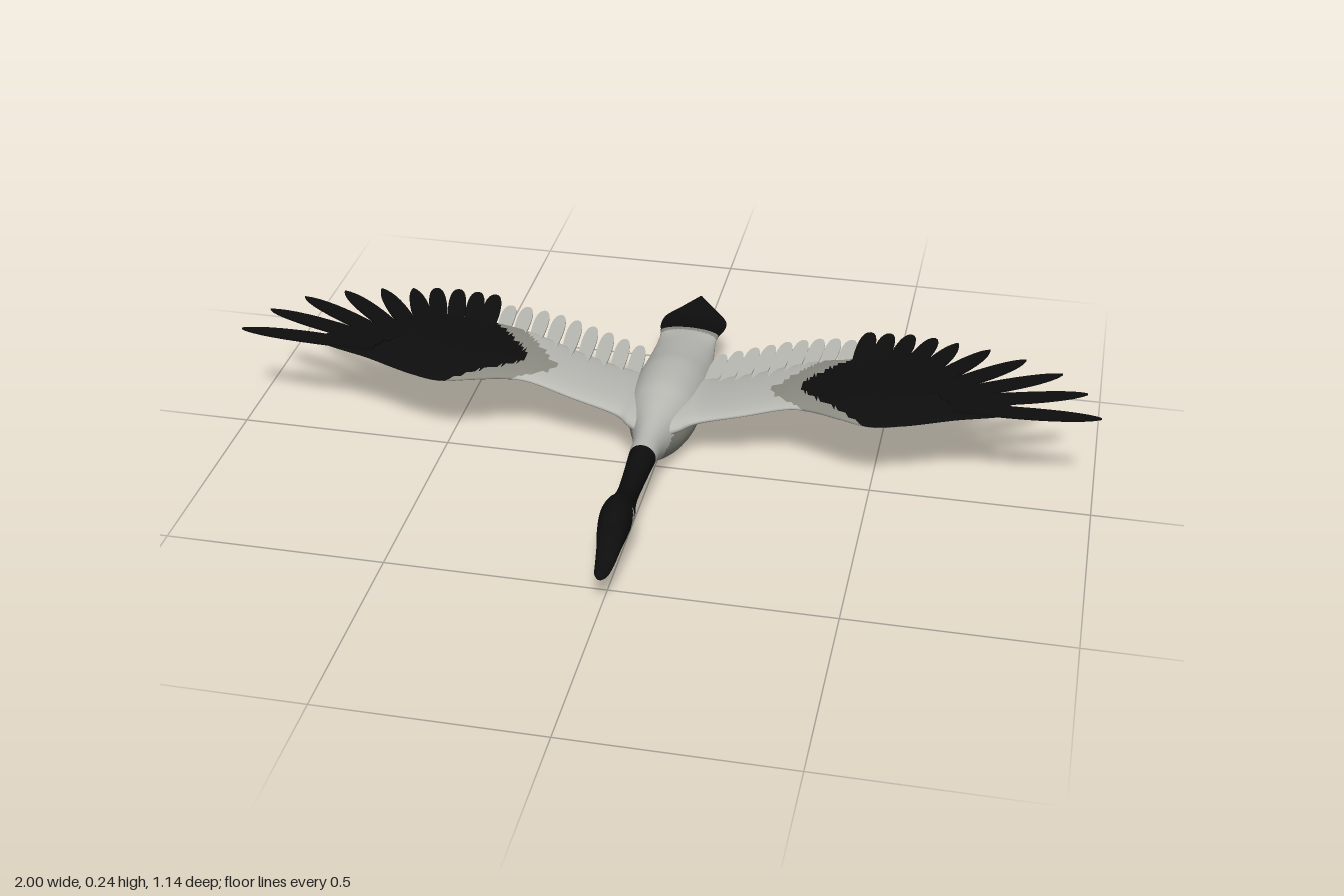
import * as THREE from 'three';

const mat = (name, color) => new THREE.MeshStandardMaterial({ name, color, side: THREE.DoubleSide });

// Catmull-Rom sampling of rows of numbers
function sampleRows(rows, steps) {
  const out = [];
  const at = (i) => rows[Math.max(0, Math.min(rows.length - 1, i))];
  for (let i = 0; i < rows.length - 1; i++) {
    for (let k = 0; k < steps; k++) {
      const t = k / steps;
      out.push(rows[i].map((b, c) => {
        const a = at(i - 1)[c], d = at(i + 1)[c], e = at(i + 2)[c];
        return b + 0.5 * t * (d - a + t * (2 * a - 5 * b + 4 * d - e + t * (3 * (b - d) + e - a)));
      }));
    }
  }
  out.push(rows[rows.length - 1]);
  return out;
}

// Skin through closed rings; pick(centre, angle) gives each quad its material index
function loft(rings, pick, flip = false) {
  const n = rings[0].length, pos = rings.flat(2), buckets = [[], [], []];
  for (let i = 0; i < rings.length - 1; i++) {
    for (let j = 0; j < n; j++) {
      const a = i * n + j, b = a + n, c = i * n + (j + 1) % n, d = c + n;
      const tris = flip ? [[a, c, b], [b, c, d]] : [[a, b, c], [b, d, c]];
      for (const t of tris) {
        const m = [0, 1, 2].map((k) => (pos[t[0] * 3 + k] + pos[t[1] * 3 + k] + pos[t[2] * 3 + k]) / 3);
        buckets[pick(m, ((j + 0.5) / n) * Math.PI * 2)].push(...t);
      }
    }
  }
  const g = new THREE.BufferGeometry();
  g.setAttribute('position', new THREE.Float32BufferAttribute(pos, 3));
  g.setIndex(buckets.flat());
  let start = 0;
  buckets.forEach((b, k) => {
    if (b.length) g.addGroup(start, b.length, k);
    start += b.length;
  });
  g.computeVertexNormals();
  return g;
}

// Thin blade with a rounded or pointed end, laid from base to tip
function featherGeometry(base, tip, width, pointed) {
  const L = base.distanceTo(tip), w = width / 2, s = new THREE.Shape();
  s.moveTo(-w * 0.6, 0);
  s.lineTo(w * 0.6, 0);
  if (pointed) {
    s.bezierCurveTo(w * 1.2, L * 0.4, w * 1.1, L * 0.85, 0, L);
    s.bezierCurveTo(-w * 0.8, L * 0.92, -w * 1.1, L * 0.5, -w * 0.6, 0);
  } else {
    s.bezierCurveTo(w, L * 0.4, w * 1.3, L, 0, L);
    s.bezierCurveTo(-w * 1.3, L, -w, L * 0.4, -w * 0.6, 0);
  }
  const g = new THREE.ExtrudeGeometry(s, { depth: 0.005, bevelEnabled: false, curveSegments: 10 });
  g.translate(0, 0, -0.0025);
  const dir = tip.clone().sub(base).normalize();
  const side = dir.clone().cross(new THREE.Vector3(0, 1, 0)).normalize();
  const up = side.clone().cross(dir);
  g.applyMatrix4(new THREE.Matrix4().makeBasis(side, dir, up).setPosition(base));
  return g;
}

// z, top y, bottom y, half width, from bill to tail
const BODY = [
  [0.57, 0.083, 0.076, 0.006], [0.555, 0.088, 0.073, 0.015], [0.52, 0.096, 0.074, 0.021],
  [0.485, 0.125, 0.075, 0.026], [0.46, 0.156, 0.075, 0.031], [0.415, 0.172, 0.077, 0.036],
  [0.37, 0.163, 0.08, 0.034], [0.34, 0.149, 0.083, 0.028], [0.29, 0.139, 0.085, 0.024],
  [0.215, 0.138, 0.085, 0.027], [0.14, 0.145, 0.081, 0.031], [0.08, 0.148, 0.062, 0.035],
  [0.02, 0.157, 0.03, 0.05], [-0.04, 0.17, 0.008, 0.07], [-0.1, 0.179, 0.001, 0.083],
  [-0.195, 0.176, 0.008, 0.086], [-0.27, 0.163, 0.018, 0.083], [-0.35, 0.15, 0.06, 0.074],
  [-0.39, 0.145, 0.092, 0.07], [-0.42, 0.141, 0.107, 0.073], [-0.46, 0.132, 0.108, 0.08],
  [-0.5, 0.13, 0.112, 0.075], [-0.535, 0.138, 0.122, 0.042], [-0.568, 0.147, 0.143, 0.004],
];

// x, leading z, trailing z, mid y, thickness, rise towards the back
const WING = [
  [0.02, 0.05, -0.24, 0.115, 0.07, 0], [0.06, 0.022, -0.23, 0.12, 0.055, 0],
  [0.1, -0.008, -0.21, 0.127, 0.04, 0], [0.2, -0.012, -0.2, 0.157, 0.034, 0.01],
  [0.3, -0.013, -0.2, 0.19, 0.032, 0.02], [0.36, 0.006, -0.2, 0.205, 0.03, 0.03],
  [0.43, 0.037, -0.2, 0.214, 0.028, 0.04], [0.5, 0.056, -0.2, 0.217, 0.026, 0.05],
  [0.58, 0.042, -0.18, 0.222, 0.022, 0.05], [0.68, 0.01, -0.13, 0.227, 0.016, 0.04],
  [0.76, -0.003, -0.08, 0.231, 0.01, 0.02], [0.82, -0.015, -0.035, 0.233, 0.004, 0],
];

// Base x, z, tip x, z of the flight feathers
const PRIMARIES = [
  [0.44, -0.14, 0.455, -0.3], [0.475, -0.14, 0.5, -0.305], [0.51, -0.13, 0.55, -0.31],
  [0.54, -0.12, 0.605, -0.306], [0.57, -0.11, 0.66, -0.296], [0.59, -0.09, 0.735, -0.28],
  [0.62, -0.08, 0.82, -0.252], [0.64, -0.06, 0.905, -0.205], [0.66, -0.04, 0.965, -0.13],
  [0.67, -0.015, 1.0, -0.03],
];

export function createModel() {
  const pale = mat('paleGrey', 0xb9b9b4), mid = mat('midGrey', 0x8b8b82), black = mat('black', 0x0d0d0d);
  const paints = [pale, mid, black];
  const model = new THREE.Group();
  const add = (name, geo, material, parent = model) => {
    const m = new THREE.Mesh(geo, material);
    m.name = name;
    parent.add(m);
    return m;
  };

  // Head, neck, body and tail in one skin
  const bodyRings = sampleRows(BODY, 8).map(([z, top, bottom, w]) =>
    Array.from({ length: 40 }, (_, j) => {
      const a = (j / 40) * Math.PI * 2;
      return [w * Math.cos(a), (top + bottom) / 2 + ((top - bottom) / 2) * Math.sin(a), z];
    }));
  const flankLine = (z) => (z > 0 ? 0.12 - z * 0.6 : z > -0.1 ? 0.12 + z * 0.45 : 0.075 + (z + 0.1) * 0.2);
  add('body', loft(bodyRings, ([, y, z]) => {
    if (z > 0.385 && z < 0.455 && y < 0.08 + (0.455 - z)) return 0; // cheek patch
    if (z > 0.14 || z < -0.415) return 2;
    if (z < -0.4) return 1;
    return z < 0.06 && z > -0.26 && y < flankLine(z) ? 1 : 0;
  }), paints);

  for (const s of [1, -1]) {
    const wing = new THREE.Group();
    wing.name = s > 0 ? 'leftWing' : 'rightWing';
    model.add(wing);

    // Wing skin with a dark outer half and a grey border
    const rows = sampleRows(WING, 8);
    const rings = rows.map(([x, lead, trail, y, th, rise]) =>
      Array.from({ length: 32 }, (_, j) => {
        const a = (j / 32) * Math.PI * 2, c = Math.cos(a);
        const thick = (th / 2) * Math.sin(a) * (0.75 + 0.25 * c);
        return [s * x, y + thick - (rise * c) / 4, (lead + trail) / 2 + ((lead - trail) / 2) * c];
      }));
    add('wingSkin', loft(rings, ([x, , z], a) => {
      const dz = z + 0.08;
      const edge = 0.29 + (dz > 0 ? 1.4 : 1.1) * Math.sqrt(dz * dz + 0.0006);
      const ax = Math.abs(x);
      if (ax > edge + (a > Math.PI ? 0.1 : 0)) return 2;
      return ax > edge - 0.065 ? 1 : 0;
    }, s < 0), paints);

    const wingY = (x) => {
      const i = Math.max(1, rows.findIndex((r) => r[0] >= x));
      return rows[i][3] + rows[i][5] / 8;
    };

    // Pale inner feathers
    for (let i = 0; i < 10; i++) {
      const x = 0.09 + i * 0.039, tipZ = -0.326 + 0.0009 * (i - 2) ** 2;
      const base = new THREE.Vector3(s * x, wingY(x), -0.15);
      const tip = new THREE.Vector3(s * (x + 0.012), wingY(x) + 0.004, tipZ);
      add('innerFeather', featherGeometry(base, tip, 0.038, false), pale, wing);
    }

    // Dark outer feathers
    PRIMARIES.forEach(([bx, bz, tx, tz], i) => {
      const base = new THREE.Vector3(s * bx, wingY(bx) - 0.002 + i * 0.0005, bz);
      const tip = new THREE.Vector3(s * tx, 0.242 - 0.0006 * i, tz);
      add('outerFeather', featherGeometry(base, tip, i < 4 ? 0.045 : 0.05, i > 3), black, wing);
    });

    // Tucked leg and webbed foot
    const leg = new THREE.CatmullRomCurve3([[0.03, 0.03, -0.2], [0.032, 0.018, -0.27], [0.032, 0.014, -0.325]]
      .map(([x, y, z]) => new THREE.Vector3(s * x, y, z)));
    add('leg', new THREE.TubeGeometry(leg, 10, 0.008, 8), mid);
    const FOOT = [[-0.305, 0.012, 0.004, 0.003], [-0.325, 0.016, 0.014, 0.008], [-0.35, 0.027, 0.022, 0.008],
      [-0.365, 0.036, 0.018, 0.006], [-0.375, 0.046, 0.003, 0.002]];
    const foot = sampleRows(FOOT, 4).map(([z, y, w, h]) =>
      Array.from({ length: 12 }, (_, j) => {
        const a = (j / 12) * Math.PI * 2;
        return [s * 0.032 + w * Math.cos(a), y + h * Math.sin(a), z];
      }));
    add('foot', loft(foot, () => 2), paints);
  }
  return model;
}
